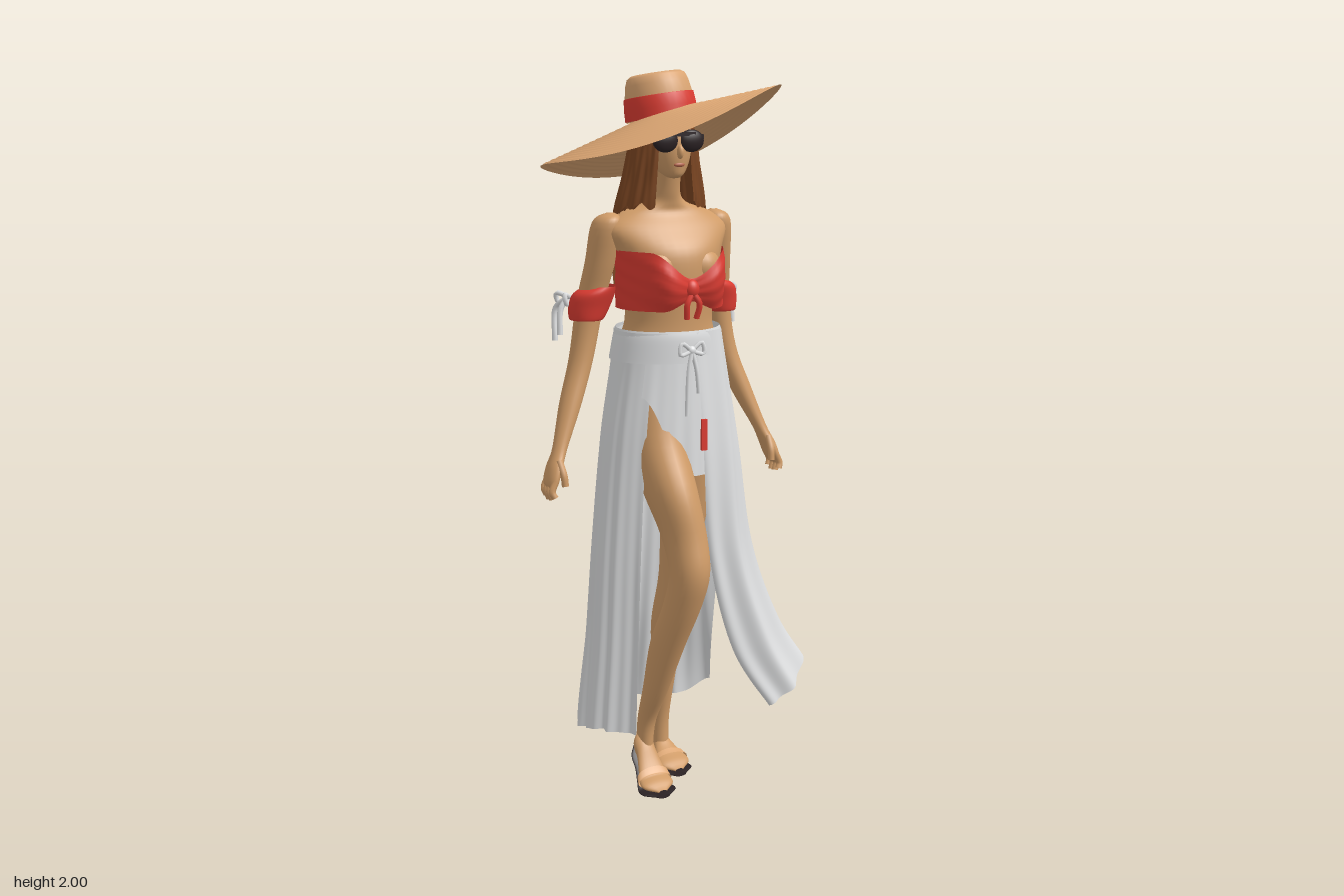
import * as THREE from 'three';
import { mergeVertices } from 'three/addons/utils/BufferGeometryUtils.js';

const V = (x, y, z) => new THREE.Vector3(x, y, z);
const { lerp, smoothstep } = THREE.MathUtils;
const mat = (name, color, double) => new THREE.MeshStandardMaterial({ name, color, side: double ? THREE.DoubleSide : THREE.FrontSide });
const CX = -0.035; // middle of the body

export function createModel() {
  const model = new THREE.Group();
  const skin = mat('skin', 0xd09c68), straw = mat('straw', 0xdca673, true), red = mat('red cloth', 0xdc3c32, true);
  const white = mat('white cloth', 0xe0e1e2, true), hairMat = mat('brown hair', 0x7c4622, true);
  const dark = mat('dark sole', 0x2b2224, true), lipMat = mat('lips', 0xb5644a);

  const add = (name, geo, material, pos = [0, 0, 0], scale = [1, 1, 1]) => {
    const m = new THREE.Mesh(geo, material);
    m.name = name;
    m.position.set(...pos);
    m.scale.set(...scale);
    model.add(m);
    return m;
  };

  // grid surface from a function f(u, v) -> Vector3
  const surf = (nu, nv, f) => {
    const pos = [], idx = [];
    for (let j = 0; j <= nv; j++) for (let i = 0; i <= nu; i++) pos.push(...f(i / nu, j / nv).toArray());
    for (let j = 0; j < nv; j++) for (let i = 0; i < nu; i++) {
      const a = j * (nu + 1) + i, b = a + nu + 1;
      idx.push(a, b, a + 1, a + 1, b, b + 1);
    }
    let g = new THREE.BufferGeometry();
    g.setAttribute('position', new THREE.Float32BufferAttribute(pos, 3));
    g.setIndex(idx);
    g = mergeVertices(g, 1e-5);
    g.computeVertexNormals();
    return g;
  };

  // smooth interpolation through rows of numbers
  const spline = (rows, t) => {
    const n = rows.length - 1, p = Math.min(t, 0.99999) * n, i = Math.floor(p), w = p - i;
    const r = k => rows[Math.min(Math.max(k, 0), n)];
    return rows[0].map((_, c) => {
      const [a, b, d, e] = [r(i - 1)[c], r(i)[c], r(i + 1)[c], r(i + 2)[c]];
      return b + 0.5 * w * (d - a + w * (2 * a - 5 * b + 4 * d - e + w * (3 * (b - d) + e - a)));
    });
  };

  // body of elliptical rings, rows [x, y, z, rx, rz] from top to bottom
  const loft = (rows, nu = 28) => surf(nu, (rows.length - 1) * 5, (u, v) => {
    const [x, y, z, rx, rz] = spline(rows, v), a = u * Math.PI * 2;
    return V(x + Math.max(rx, 0.001) * Math.sin(a), y, z + Math.max(rz, 0.001) * Math.cos(a));
  });
  const tube = (pts, r) => new THREE.TubeGeometry(new THREE.CatmullRomCurve3(pts.map(p => V(...p))), 14, r, 7);
  const ball = new THREE.SphereGeometry(1, 24, 16);

  // torso and head
  add('torso', loft([[-.045, 1.76, .03, .036, .04], [-.045, 1.69, .012, .036, .042], [-.04, 1.655, -.005, .06, .05],
    [CX, 1.63, -.015, .13, .06], [CX, 1.59, -.005, .175, .08], [CX, 1.53, .01, .15, .105], [CX, 1.46, .01, .135, .112], [CX, 1.4, .01, .124, .106],
    [CX, 1.34, .005, .122, .108], [CX, 1.28, 0, .138, .115], [CX, 1.2, 0, .145, .115], [CX, 1.05, -.01, .14, .1]], 36), skin);
  add('head', loft([[-.05, 1.93, .01, .01, .01], [-.05, 1.9, .01, .058, .068], [-.048, 1.84, .015, .067, .078],
    [-.046, 1.79, .02, .06, .076], [-.045, 1.75, .035, .043, .056], [-.045, 1.726, .048, .022, .034], [-.045, 1.72, .05, .002, .002]]), skin);
  add('nose', ball, skin, [-.046, 1.79, .096], [.009, .018, .012]);
  add('lips', ball, lipMat, [-.045, 1.757, .089], [.016, .006, .006]);

  // sunglasses
  for (const s of [-1, 1]) {
    add('lens', ball, dark, [-.048 + s * .038, 1.818, .09], [.036, .029, .015]);
    add('glassesArm', new THREE.BoxGeometry(.006, .012, .09), dark, [-.048 + s * .07, 1.828, .05]);
  }
  add('glassesBridge', new THREE.BoxGeometry(.09, .01, .008), dark, [-.048, 1.835, .098]);

  // hair falling down the back, open around the face
  const hairRows = [[-.05, 0, 0, .068, .075], [-.046, 0, -.005, .088, .09], [-.043, 0, -.015, .108, .092],
    [-.04, 0, -.035, .128, .098], [-.038, 0, -.07, .125, .088], [-.038, 0, -.095, .11, .06]];
  for (const [k, size] of [[0, 1], [1, .9]]) add('hair', surf(140, 26, (u, v) => {
    const edge = .62 + k * .05 - .12 * v, a = lerp(edge, Math.PI * 2 - edge, u);
    const hem = lerp(1.65, 1.425, smoothstep(-Math.cos(a), -.4, .5)) + .01 * Math.sin(a * 13);
    const y = lerp(1.92, hem, v), [x, , z, rx, rz] = spline(hairRows, (1.92 - y) / .5);
    const f = size * (1 + (.025 * Math.sin(a * 19 + v * 3) + .015 * Math.sin(a * 33 - v * 4)) * Math.min(1, v * 2));
    return V(x + rx * f * Math.sin(a), y, z + rz * f * Math.cos(a));
  }), hairMat);

  // wide straw hat
  const HX = -.055;
  add('hatBrim', surf(96, 70, (u, v) => {
    const t = u * Math.PI * 2, r = lerp(.08, .317, v), c = Math.cos(t), s = Math.sin(t);
    const rim = 1.815 + .07 * c + .09 * s + .02 * Math.cos(2 * t) + .03 * Math.sin(2 * t);
    const inner = 1.882 + .018 * c + .02 * s;
    return V(HX + r * c, lerp(inner, rim, v) + .0012 * Math.sin(v * 88 + c), r * s);
  }), straw);
  const lathe = pts => new THREE.LatheGeometry(pts.map(p => new THREE.Vector2(...p)), 32);
  const crown = add('hatCrown', lathe([[.094, -.01], [.09, .05], [.084, .082], [.077, .1], [.066, .107], [.03, .106], [.0001, .105]]), straw, [-.05, 1.883, -.004]);
  const band = add('hatBand', lathe([[.097, -.008], [.096, .02], [.093, .05], [.088, .052]]), red, [-.05, 1.883, -.004]);
  for (const m of [crown, band]) m.rotation.set(-.1, 0, .11);

  // tied bandeau with a dipping neckline
  add('bandeau', surf(90, 14, (u, v) => {
    const a = (u * 2 - 1) * Math.PI, b = Math.abs(a);
    const top = lerp(1.465, 1.535, smoothstep(b, 0, .75)) - .04 * smoothstep(b, 1.6, 2.6);
    const low = lerp(1.405, 1.38, smoothstep(b, 0, .5));
    const cup = Math.exp(-(((b - .5) / .42) ** 2)) * .045 * Math.sin(Math.PI * (.25 + .65 * v));
    const f = 1 + .008 * Math.sin(v * 22 + b * 5);
    return V(CX + (.15 * f + cup * .4) * Math.sin(a), lerp(top, low, v), .01 + (.121 * f + cup) * Math.cos(a));
  }), red);
  add('bandeauKnot', ball, red, [CX, 1.438, .138], [.022, .026, .02]);
  for (const s of [-1, 1]) {
    add('breast', ball, skin, [CX + s * .062, 1.49, .058], [.058, .055, .062]);
    add('knotTail', tube([[CX, 1.43, .145], [CX + s * .018, 1.4, .15], [CX + s * .014, 1.36, .14]], .008), red);
  }

  // arms, hands, sleeves and sleeve ties
  for (const s of [-1, 1]) {
    const X = d => CX + s * d;
    add('arm', loft([[.155, 1.632, -.025, .008, .008], [.163, 1.605, -.03, .04, .046], [.176, 1.5, -.05, .04, .045],
      [.195, 1.38, -.08, .037, .041], [.222, 1.24, -.08, .033, .036], [.265, 1.12, -.06, .03, .033], [.31, 1.01, -.03, .02, .024],
      [.332, .96, -.02, .019, .036], [.345, .92, -.015, .016, .037], [.348, .9, -.012, .004, .022]].map(([d, ...r]) => [X(d), ...r])), skin);
    for (let i = 0; i < 4; i++) {
      const z = -.043 + i * .019, end = .872 + Math.abs(i - 1.4) * .008;
      add('finger', tube([[X(.342), .93, z], [X(.354), .9, z + .002], [X(.348), end, z + .006]], .0095), skin);
    }
    add('thumb', tube([[X(.325), .98, 0], [X(.322), .945, .022], [X(.32), .915, .027]], .01), skin);
    add('sleeve', loft([[.165, 1.435, -.06, .04, .044], [.185, 1.415, -.07, .056, .055], [.196, 1.38, -.08, .057, .056], [.205, 1.345, -.08, .046, .048], [.205, 1.35, -.08, .036, .04]].map(([d, ...r]) => [X(d), ...r])), red);
    for (const [dz, len] of [[-.015, .12], [.02, .1]]) {
      add('sleeveTie', tube([[X(.24), 1.4, -.12], [X(.262), 1.37, -.14 + dz], [X(.268), 1.4 - len, -.135 + dz]], .008), white);
      add('sleeveBowLoop', tube([[X(.235), 1.4, -.115], [X(.262), 1.41, -.125 + dz * 1.6], [X(.256), 1.385, -.125 + dz * 1.6], [X(.235), 1.395, -.115]], .007), white);
    }
  }

  // legs: one bent forward, one straight
  add('bentLeg', loft([[-.1, 1.2, .01, .07, .09], [-.098, 1.05, .035, .075, .1], [-.088, .9, .11, .07, .1], [-.07, .78, .16, .06, .076],
    [-.067, .68, .19, .054, .063], [-.075, .58, .165, .05, .06], [-.09, .45, .105, .045, .06], [-.1, .3, .05, .034, .043],
    [-.105, .19, .003, .026, .03], [-.107, .11, -.008, .022, .03]]), skin);
  add('straightLeg', loft([[.03, 1.15, 0, .085, .1], [.03, .95, 0, .078, .09], [.015, .75, -.01, .06, .07], [0, .6, -.02, .047, .055],
    [-.01, .45, -.05, .046, .056], [-.01, .3, -.075, .035, .04], [-.01, .15, -.1, .026, .03], [-.01, .05, -.108, .026, .034]]), skin);

  // feet in flat sandals; lift raises the heel
  const footRows = [[.004, .02], [.028, .062], [.03, .066], [.038, .05], [.047, .036], [.045, .026], [.012, .01]];
  const foot = (x, z0, z1, lift, base, grow, flat, v0 = 0, v1 = 1) => surf(24, 24, (u, w) => {
    const v = lerp(v0, v1, w), a = u * Math.PI * 2, [fw, fh] = spline(footRows, v), h = (flat || fh + grow) / 2;
    const y = base + lift * Math.max(0, 1 - v * 1.5) ** 1.2 + h + h * Math.cos(a);
    return V(x + (fw + grow) * Math.sin(a), y, lerp(z0, z1, v));
  });
  for (const [x, z0, z1, lift] of [[-.114, -.035, .122, .105], [-.008, -.145, .02, 0]]) {
    add('foot', foot(x, z0, z1, lift, .011, 0, 0), skin);
    add('sandalSole', foot(x, z0 - .005, z1 + .008, lift, 0, .006, .012), dark);
    add('sandalStrap', foot(x, z0, z1, lift, .009, .005, 0, .58, .68), straw);
  }

  // skirt rings, indexed by height from waist to hem
  const skirtRows = [[-.037, 0, .147, .13], [-.04, -.008, .185, .141], [-.04, -.02, .207, .15], [-.04, -.042, .217, .168], [-.035, -.07, .235, .195]];
  const skirt = (a, y, f = 1) => {
    const t = (1.32 - y) / 1.17, [x, z, rx, rz] = spline(skirtRows, Math.max(t, 0));
    const r = f * (1 + t * (.03 * Math.sin(a * 17) + .018 * Math.sin(a * 29 + 1)));
    return V(x + rx * r * Math.sin(a), y, z + rz * r * Math.cos(a));
  };
  add('skirtBack', surf(150, 40, (u, v) => {
    const a = lerp(1.7 + .42 * v, Math.PI * 2 - .65, u);
    const y = lerp(1.32, .145 + .045 * smoothstep(u, .55, .9) + .04 * (1 - smoothstep(u, 0, .08)), v);
    return skirt(a, y, 1 + .26 * v * v * Math.exp(-((u / .06) ** 2)));
  }), white);
  add('skirtFront', surf(40, 16, (u, v) => {
    const a = lerp(-.78, .3, u);
    return skirt(a, lerp(1.32, lerp(1.15, .93, smoothstep(u, 0, .8)), v), 1 + .05 * v);
  }), white);

  // wind-blown side panel
  const panel = [
    [-.015, 1.32, .131, .07, 1.32, .1, .112, 1.32, .02, .105, 1.32, -.05],
    [0, 1, .145, .1, 1, .118, .165, 1, .03, .15, 1, -.08],
    [.03, .68, .13, .13, .68, .128, .212, .7, .03, .185, .7, -.11],
    [.11, .4, .122, .22, .42, .128, .305, .46, .02, .245, .42, -.115],
    [.23, .21, .125, .32, .255, .12, .405, .31, 0, .28, .25, -.1]];
  add('skirtSidePanel', surf(60, 40, (u, v) => {
    const p = spline(panel, v), q = [0, 1, 2, 3].map(k => p.slice(k * 3, k * 3 + 3)), [x, y, z] = spline(q, u);
    const fold = .007 * Math.sin(u * 26) * Math.min(1, v * 2);
    return V(x + fold * u, y, z + fold * (1 - u));
  }), white);
  add('skirtStrip', tube([[.155, .98, -.08], [.19, .75, -.13], [.215, .57, -.205]], .008), white);

  // waistband with a drawstring bow
  add('waistband', loft([[CX, 1.325, 0, .145, .13], [CX, 1.3, 0, .152, .134], [CX, 1.24, -.003, .163, .138]], 48), white);
  add('bowKnot', ball, white, [CX, 1.275, .141], [.012, .012, .01]);
  for (const s of [-1, 1]) {
    add('bowLoop', tube([[CX, 1.275, .141], [CX + s * .03, 1.295, .142], [CX + s * .035, 1.265, .144], [CX, 1.273, .142]], .006), white);
    add('bowString', tube([[CX, 1.275, .143], [CX + s * .012, 1.22, .147], [CX + s * .018, 1.13 + s * .03, .148]], .006), white);
  }
  add('redTassel', new THREE.BoxGeometry(.016, .085, .008), red, [-.003, 1.045, .152]);

  return model;
}
